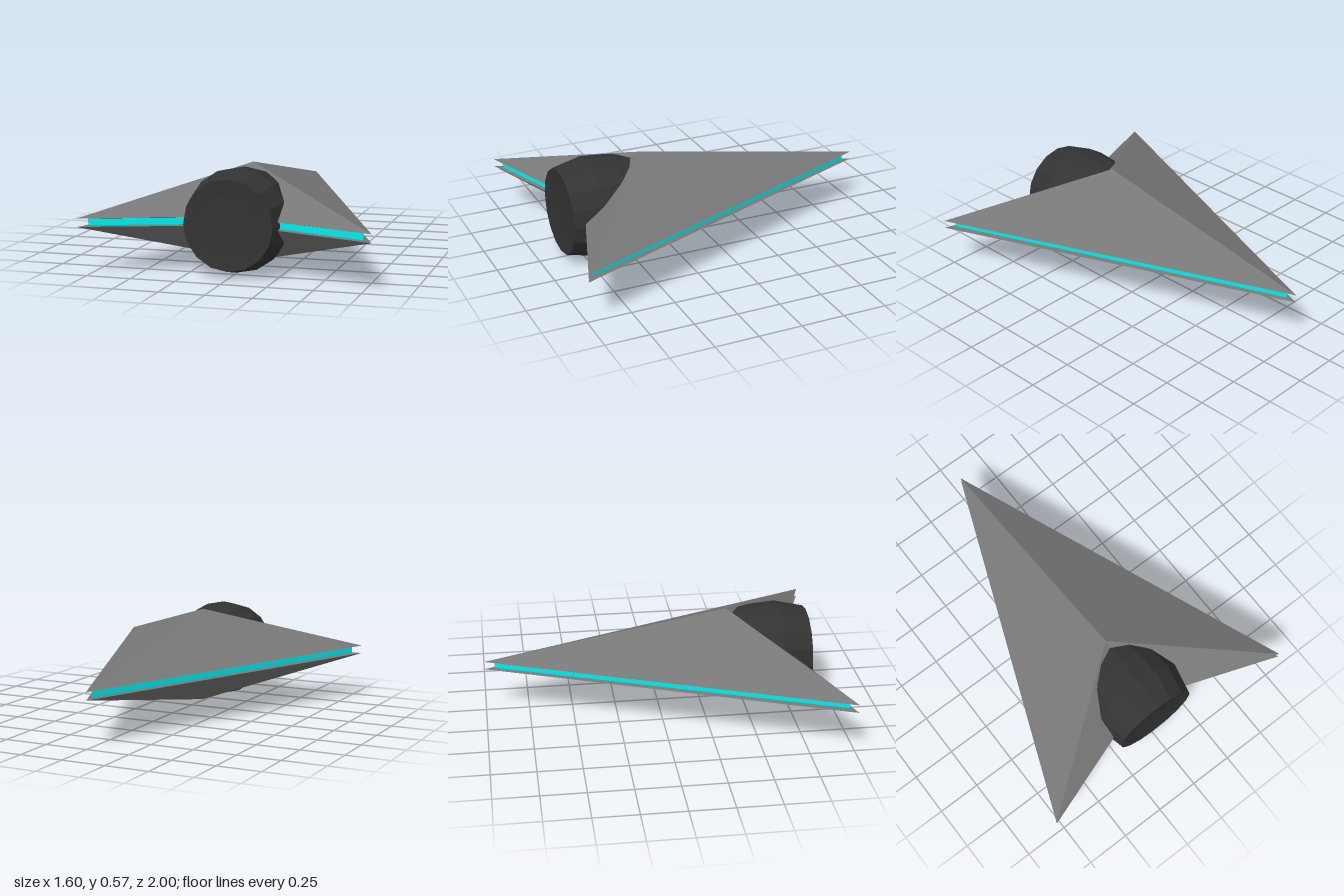
import * as THREE from 'three';

const MID = 0.287; // height of the symmetry plane
// Arrowhead outline (x, z): nose, right tip, rear notch, left tip
const OUTER = [[0, -1], [-0.8, 1], [0, 0.72], [0.8, 1]];
const INNER = [[0, -0.94], [-0.75, 0.96], [0, 0.7], [0.75, 0.96]];

const paint = (color) => new THREE.MeshStandardMaterial({ color, flatShading: true });

function part(name, geometry, material) {
  const mesh = new THREE.Mesh(geometry, material);
  mesh.name = name;
  return mesh;
}

// One half of the hull: a faceted peak over a thin bevelled rim; side = 1 up, -1 down
function hullHalf(side) {
  const at = (list, h) => list.map(([x, z]) => new THREE.Vector3(x, MID + side * h, z));
  const rim = at(OUTER, 0.023);
  const base = at(INNER, 0.018);
  const [apex] = at([[0, 0.4]], 0.278);
  const points = [];
  const tri = (a, b, c) => points.push(...(side > 0 ? [a, b, c] : [a, c, b]));
  for (let i = 0; i < 4; i++) {
    const j = (i + 1) % 4;
    tri(rim[i], rim[j], apex);
    tri(base[i], base[j], rim[j]);
    tri(base[i], rim[j], rim[i]);
  }
  tri(base[0], base[2], base[1]);
  tri(base[0], base[3], base[2]);
  const geometry = new THREE.BufferGeometry().setFromPoints(points);
  geometry.computeVertexNormals();
  return geometry;
}

export function createModel() {
  const model = new THREE.Group();
  model.name = 'arrowheadShip';

  // Mirrored hull halves
  const hullPaint = paint(0x777777);
  model.add(part('upperHull', hullHalf(1), hullPaint));
  model.add(part('lowerHull', hullHalf(-1), hullPaint));

  // Bright band sandwiched between the halves
  const outline = new THREE.Shape(INNER.map(([x, z]) => new THREE.Vector2(x, -z)));
  const band = new THREE.ExtrudeGeometry(outline, { depth: 0.035, bevelEnabled: false });
  band.rotateX(-Math.PI / 2).translate(0, MID - 0.0175, 0);
  model.add(part('glowBand', band, paint(0x00eeee)));

  // Faceted engine drum in the rear notch, with a shallow dished end
  const profile = [[0, 0.36], [0.15, 0.37], [0.24, 0.4], [0.272, 0.55], [0.285, 0.7],
    [0.247, 0.87], [0.165, 0.862], [0, 0.858]].map(([r, z]) => new THREE.Vector2(r, z));
  const engine = new THREE.LatheGeometry(profile, 16);
  engine.rotateX(Math.PI / 2).translate(0, MID, 0);
  model.add(part('engine', engine, paint(0x333333)));

  return model;
}
